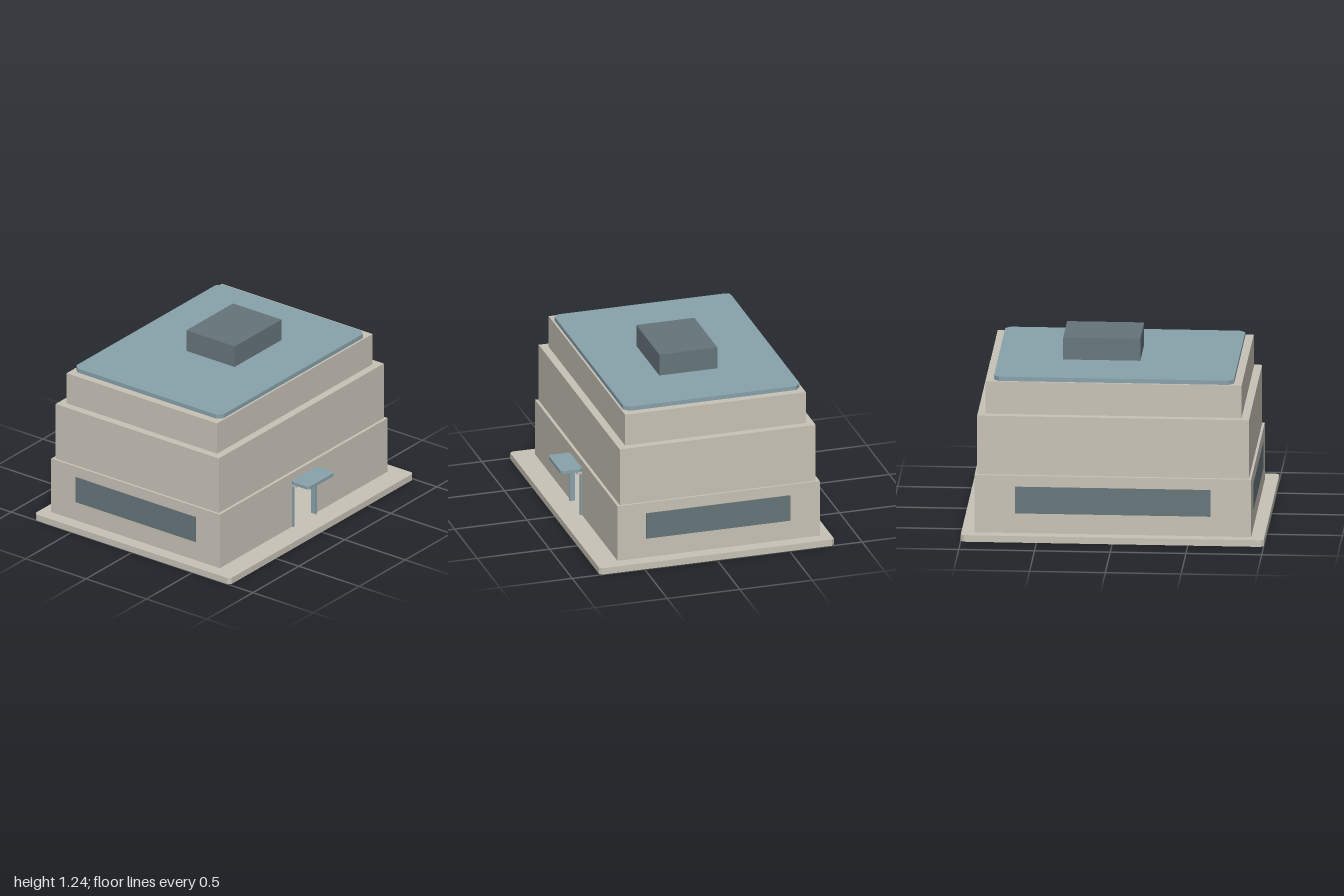
import * as THREE from 'three';

const mat = (name, color) => {
  const m = new THREE.MeshStandardMaterial({ color });
  m.name = name;
  return m;
};

export function createModel() {
  const group = new THREE.Group();
  group.name = 'building';
  const stone = mat('warm stone', 0xc8c3b7);
  const blue = mat('blue metal', 0x88a2ab);
  const dark = mat('dark slate', 0x66757a);

  const add = (name, geometry, material) => {
    const mesh = new THREE.Mesh(geometry, material);
    mesh.name = name;
    group.add(mesh);
    return mesh;
  };

  // Box given by its minimum and maximum along each axis
  const box = (name, material, [x0, x1], [y0, y1], [z0, z1]) =>
    add(name, new THREE.BoxGeometry(x1 - x0, y1 - y0, z1 - z0), material)
      .position.set((x0 + x1) / 2, (y0 + y1) / 2, (z0 + z1) / 2);

  // Plan outline (x, -z) extruded upward from y0 to y1
  const plan = (name, material, shape, y0, y1) => {
    const g = new THREE.ExtrudeGeometry(shape, { depth: y1 - y0, bevelEnabled: false });
    g.rotateX(-Math.PI / 2);
    g.translate(0, y0, 0);
    add(name, g, material);
  };
  const outline = (points) => new THREE.Shape(points.map(([x, y]) => new THREE.Vector2(x, y)));

  // Flat slab with chamfered corners
  const slab = (name, material, [x0, x1], [y0, y1], hz, c) =>
    plan(name, material, outline([
      [x0 + c, -hz], [x1 - c, -hz], [x1, -hz + c], [x1, hz - c],
      [x1 - c, hz], [x0 + c, hz], [x0, hz - c], [x0, -hz + c],
    ]), y0, y1);

  slab('basePlate', stone, [-0.81, 0.81], [0, 0.045], 1, 0.018);

  // Hollow ground floor: walls with a doorway gap, closed by a full ring above it
  const x0 = -0.735, x1 = 0.66, hz = 0.913, t = 0.025, door = 0.115;
  const doorTop = 0.34, floorTop = 0.437;
  plan('groundFloorWalls', stone, outline([
    [x1, door], [x1, hz], [x0, hz], [x0, -hz], [x1, -hz], [x1, -door],
    [x1 - t, -door], [x1 - t, -hz + t], [x0 + t, -hz + t],
    [x0 + t, hz - t], [x1 - t, hz - t], [x1 - t, door],
  ]), 0.045, doorTop);
  const ring = outline([[x0, -hz], [x1, -hz], [x1, hz], [x0, hz]]);
  ring.holes.push(outline([
    [x0 + t, -hz + t], [x0 + t, hz - t], [x1 - t, hz - t], [x1 - t, -hz + t],
  ]));
  plan('groundFloorUpperWalls', stone, ring, doorTop, floorTop);

  // Stepped upper floors
  box('middleFloor', stone, [-0.712, 0.64], [floorTop - 0.002, 0.837], [-0.897, 0.897]);
  box('topFloor', stone, [-0.66, 0.587], [0.837, 1.058], [-0.845, 0.845]);

  // Roof
  slab('roofSlab', blue, [-0.645, 0.573], [1.058, 1.087], 0.792, 0.035);
  box('roofUnit', dark, [-0.2, 0.2], [1.087, 1.237], [-0.362, 0.147]);

  // Strip windows on the front, back and closed side
  const p = 0.004, wy = [0.18, 0.362];
  box('frontWindow', dark, [-0.53, 0.463], wy, [hz, hz + p]);
  box('backWindow', dark, [-0.53, 0.463], wy, [-hz - p, -hz]);
  box('sideWindow', dark, [x0 - p, x0], wy, [-0.645, 0.645]);

  // Doorway with posts, lintel and canopy
  for (const s of [-1, 1]) {
    const z = s * 0.121;
    box('doorPost', blue, [x1 - t, 0.672], [0.045, doorTop], [z - 0.007, z + 0.007]);
  }
  box('doorLintel', stone, [x1, 0.695], [doorTop, 0.362], [-0.128, 0.128]);
  slab('doorCanopy', blue, [x1, 0.81], [0.362, 0.383], 0.142, 0.015);

  return group;
}
